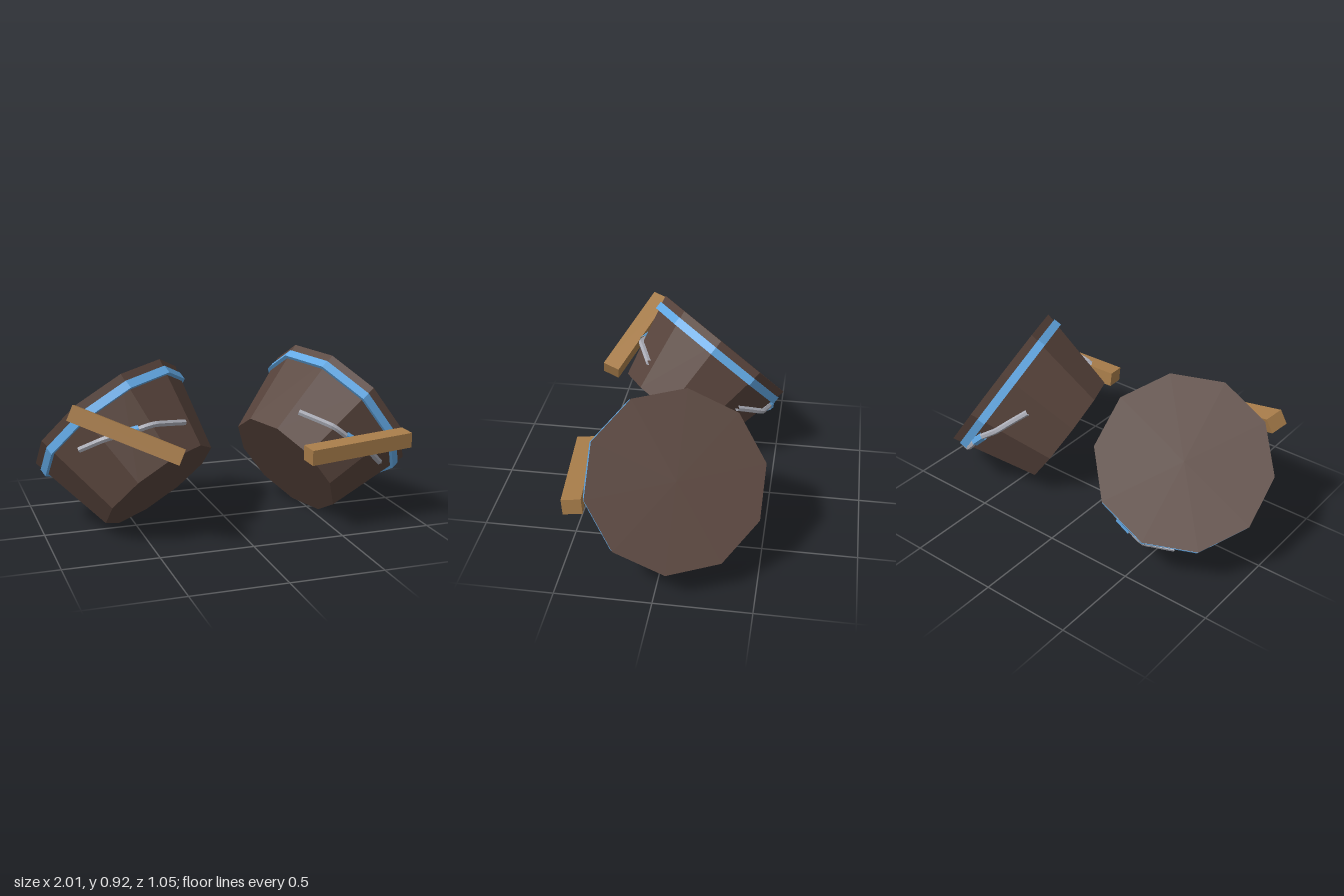
import * as THREE from 'three';

const mat = (name, color) => new THREE.MeshStandardMaterial({ name, color, flatShading: true, side: THREE.DoubleSide });
const rad = THREE.MathUtils.degToRad;
const SIDES = 10, TOP = 0.46, BOTTOM = 0.345, HEIGHT = 0.489, PHASE = 15.5;

// Point on the faceted wall: angle in degrees, t from 0 (rim) to 1 (base).
function wallPoint(angle, t, offset) {
  const step = 360 / SIDES;
  const local = ((((angle - PHASE) % step) + step) % step) - step / 2;
  const r = (TOP + (BOTTOM - TOP) * t) * Math.cos(rad(step / 2)) / Math.cos(rad(local)) + offset;
  return new THREE.Vector3(r * Math.sin(rad(angle)), -t * HEIGHT, r * Math.cos(rad(angle)));
}

// Rod that hugs the wall through [angle, t] stops; mirror flips it left to right.
function wallRod(stops, radius, mirror) {
  const points = [];
  const steps = 8;
  for (let s = 0; s < stops.length - 1; s++) {
    for (let i = s ? 1 : 0; i <= steps; i++) {
      const k = i / steps;
      const p = wallPoint(
        THREE.MathUtils.lerp(stops[s][0], stops[s + 1][0], k),
        THREE.MathUtils.lerp(stops[s][1], stops[s + 1][1], k), 0.011);
      p.x *= mirror;
      points.push(p);
    }
  }
  return new THREE.TubeGeometry(new THREE.CatmullRomCurve3(points), 32, radius, 6, false);
}

function createBucket(name, mirror, mats) {
  const g = new THREE.Group();
  g.name = name;
  const add = (part, geometry, material) => {
    const m = new THREE.Mesh(geometry, material);
    m.name = part;
    g.add(m);
    return m;
  };
  const phase = rad(PHASE) * mirror;

  // Tapered body, origin at the centre of its wide end
  add('body', new THREE.CylinderGeometry(TOP, BOTTOM, HEIGHT, SIDES, 1, false, phase), mats.brown)
    .position.y = -HEIGHT / 2;

  // Band around the wide end
  const profile = [[0.42, -0.09], [0.459, -0.09], [0.459, -0.044], [0.42, -0.044], [0.42, -0.09]]
    .map(([x, y]) => new THREE.Vector2(x, y));
  add('hoop', new THREE.LatheGeometry(profile, SIDES, phase), mats.blue);

  // Metal rods on front and back, each with a clip at the middle
  add('frontRod', wallRod([[-50, 0.72], [-6, 0.55], [34, 0.35]], 0.017, mirror), mats.grey);
  add('frontClip', wallRod([[-10, 0.57], [4, 0.5]], 0.025, mirror), mats.blue);
  add('backRod', wallRod([[-140, 0.48], [-181, 0.24], [-222, 0.155]], 0.017, mirror), mats.grey);
  add('backClip', wallRod([[-178, 0.255], [-190, 0.22]], 0.025, mirror), mats.blue);

  // Slanted wooden grip beside the wall
  const along = new THREE.Vector3(0.53 * mirror, 0.83, 0.15).normalize();
  const across = new THREE.Vector3().crossVectors(along, new THREE.Vector3(0.09 * mirror, -0.27, 0.96)).normalize();
  const outward = new THREE.Vector3().crossVectors(across, along);
  const grip = add('grip', new THREE.BoxGeometry(0.083, 0.598, 0.098), mats.wood);
  grip.quaternion.setFromRotationMatrix(new THREE.Matrix4().makeBasis(across, along, outward));
  grip.position.set(0, -0.283, 0.45);
  return g;
}

// Set a bucket's wide end at a position, with its axis and front given as directions.
function place(bucket, position, axis, front) {
  const y = new THREE.Vector3(...axis).normalize();
  const x = new THREE.Vector3().crossVectors(y, new THREE.Vector3(...front)).normalize();
  const z = new THREE.Vector3().crossVectors(x, y);
  bucket.quaternion.setFromRotationMatrix(new THREE.Matrix4().makeBasis(x, y, z));
  bucket.position.set(...position);
  return bucket;
}

export function createModel() {
  const mats = {
    brown: mat('dark brown', 0x58443c),
    blue: mat('sky blue', 0x62a8e4),
    wood: mat('wood', 0xa87d4a),
    grey: mat('metal grey', 0xa9abb5),
  };
  const model = new THREE.Group();
  model.name = 'bucketPair';
  model.add(
    place(createBucket('leftBucket', 1, mats), [0.724, 0.551, -0.082], [0.782, 0.555, -0.285], [0.238, 0.158, 0.96]),
    place(createBucket('rightBucket', -1, mats), [-0.612, 0.593, -0.168], [-0.438, 0.694, -0.572], [-0.305, 0.482, 0.82]),
  );
  return model;
}
